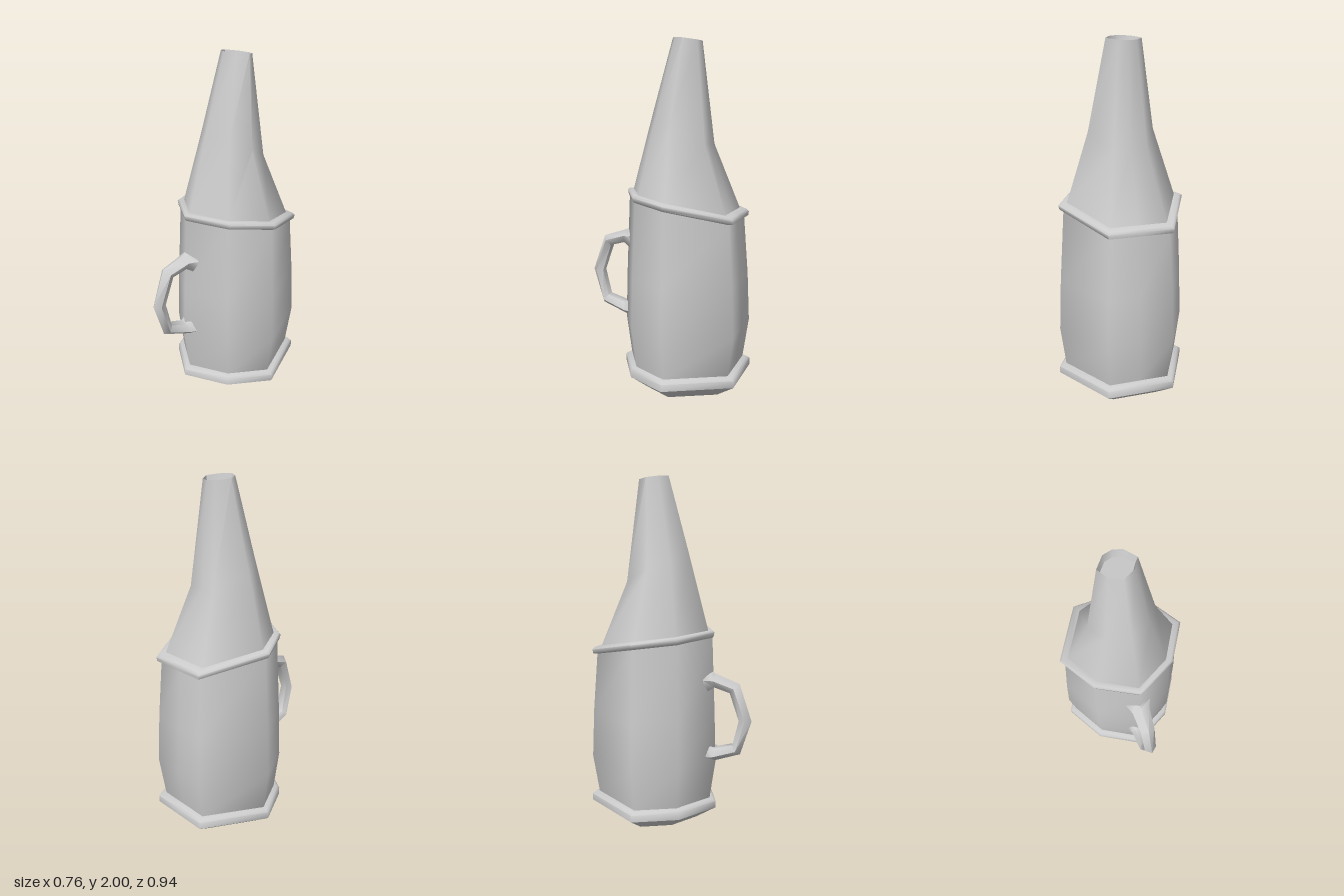
import * as THREE from 'three';
import { toCreasedNormals } from 'three/addons/utils/BufferGeometryUtils.js';

const CREASE = 1.15;
const material = new THREE.MeshStandardMaterial({ color: 0xcccccc, side: THREE.DoubleSide });

// Skin a stack of closed rings (bottom to top), optionally capping the ends
function loft(name, rings, capBottom = false, capTop = false) {
  const n = rings[0].length;
  const pos = rings.flat(2);
  const index = [];
  for (let i = 0; i < rings.length - 1; i++) {
    for (let j = 0; j < n; j++) {
      const k = (j + 1) % n;
      const a = i * n + j, b = i * n + k, c = a + n, d = b + n;
      index.push(a, b, d, a, d, c);
    }
  }
  const cap = (r, up) => {
    const s = r * n, centre = pos.length / 3;
    for (let c = 0; c < 3; c++) pos.push(rings[r].reduce((t, p) => t + p[c], 0) / n);
    for (let j = 0; j < n; j++) {
      const a = s + j, b = s + (j + 1) % n;
      index.push(centre, up ? a : b, up ? b : a);
    }
  };
  if (capBottom) cap(0, false);
  if (capTop) cap(rings.length - 1, true);
  const geo = new THREE.BufferGeometry();
  geo.setAttribute('position', new THREE.Float32BufferAttribute(pos, 3));
  geo.setIndex(index);
  const mesh = new THREE.Mesh(toCreasedNormals(geo, CREASE), material);
  mesh.name = name;
  return mesh;
}

// Plan outline: pointed front, wide sides, flat back (x and z as fractions)
const half = [[0.64, 0.635], [1, 0], [0.5, -1]];
const plan = [[0, 1], ...half, [0, -1], ...half.map(([x, z]) => [-x, z]).reverse()];

// One ring: half width, front z, back z, height (number or function of z)
function ring(w, front, back, y, mid = -0.11, bulge = 0) {
  return plan.map(([u, v], i) => {
    const z = mid + (v > 0 ? v * (front - mid) : -v * (back - mid)) - (i === 4 ? bulge : 0);
    return [u * w, typeof y === 'function' ? y(z) : y, z];
  });
}

// Sloping shoulder line, falling towards the back
const shoulder = (offset) => (z) => 1.115 + (z + 0.11) * (z > -0.11 ? 0.1 : 0.25) + offset;

export function createModel() {
  const group = new THREE.Group();

  // Chamfered foot
  group.add(loft('foot', [
    ring(0.26, 0.14, -0.36, 0),
    ring(0.38, 0.26, -0.47, 0.08),
  ], true));

  // Raised band round the base
  group.add(loft('baseBand', [
    ring(0.38, 0.26, -0.47, 0.08),
    ring(0.38, 0.26, -0.47, 0.12),
    ring(0.365, 0.245, -0.455, 0.132),
    ring(0.335, 0.215, -0.425, 0.138),
  ]));

  // Body, widest a third of the way up
  group.add(loft('body', [
    ring(0.34, 0.22, -0.43, 0.13),
    ring(0.373, 0.255, -0.462, 0.365),
    ring(0.363, 0.247, -0.45, 0.65),
    ring(0.338, 0.228, -0.425, shoulder(-0.04)),
  ]));

  // Sloping shoulder rim
  group.add(loft('rim', [
    ring(0.335, 0.225, -0.42, shoulder(-0.045)),
    ring(0.36, 0.235, -0.447, shoulder(-0.035)),
    ring(0.367, 0.24, -0.45, shoulder(-0.012)),
    ring(0.352, 0.23, -0.44, shoulder(0)),
    ring(0.31, 0.195, -0.395, shoulder(0)),
  ]));

  // Tapering neck
  const lip = (z) => 2.005 + (z + 0.04) * 0.13;
  const top = ring(0.1, -0.042, -0.2, lip, -0.135, 0.014);
  group.add(loft('neck', [
    ring(0.32, 0.205, -0.405, shoulder(-0.01)),
    ring(0.188, 0.08, -0.262, (z) => 1.545 + 0.5 * z, -0.09),
    top,
  ]));

  // Shallow recess in the mouth
  group.add(loft('mouth', [
    top,
    ring(0.088, -0.055, -0.19, (z) => lip(z) - 0.05, -0.135, 0.012),
  ], false, true));

  // Handle: [outer z, y, inner z, y, half width], bottom to top
  const stations = [
    [0.20, 0.35, 0.20, 0.49, 0.075],
    [0.25, 0.375, 0.255, 0.455, 0.052],
    [0.405, 0.435, 0.365, 0.49, 0.043],
    [0.47, 0.64, 0.4, 0.64, 0.036],
    [0.395, 0.853, 0.345, 0.8, 0.043],
    [0.25, 0.9, 0.255, 0.825, 0.052],
    [0.20, 0.935, 0.20, 0.79, 0.075],
  ];
  const section = [[0, 0], [1, 0.45], [0.6, 1], [-0.6, 1], [-1, 0.45]];
  group.add(loft('handle', stations.map(([oz, oy, iz, iy, w]) =>
    section.map(([x, t]) => [x * w, oy + (iy - oy) * t, oz + (iz - oz) * t])), true, true));

  return group;
}
